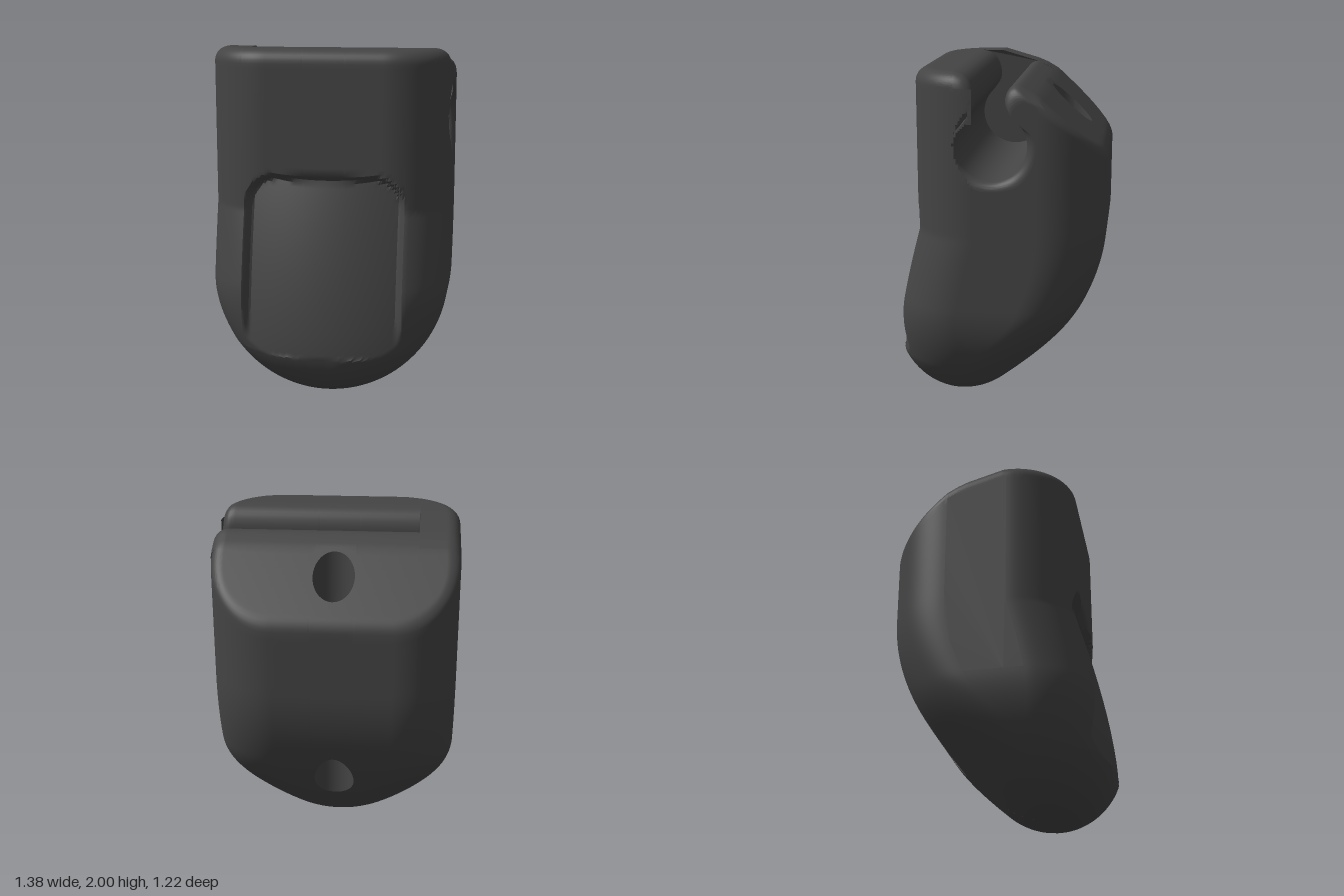
import * as THREE from 'three';
import { mergeVertices, toCreasedNormals } from 'three/addons/utils/BufferGeometryUtils.js';

const { lerp, clamp, smoothstep } = THREE.MathUtils;
const W = 0.69;                               // half width and radius of the round bottom
const CORNER = 0.36;                          // corner radius seen from above
const SLOT_END = -0.46;                       // blind end of the cross slot
const SLOT = { z: 0.005, y: 1.617, r: 0.195 };
const HOLE = { z: -0.385, r: 0.115 };

// Signed distance to a rounded corner region
const roundDist = (a, b, r) => Math.hypot(Math.max(a, 0), Math.max(b, 0)) + Math.min(Math.max(a, b), 0) - r;

// Side profile: thumb face, front and back edge by height
const thumbFace = (y) => 0.61 - 0.15 * (Math.max(0, y - 0.29) / 0.81) ** 1.5;
const frontEdge = (y) => y < 0.29
  ? 0.24 + 0.375 * Math.sqrt(Math.max(0, 1 - (1 - y / 0.36) ** 2))
  : Math.max(0.46, thumbFace(y));
const backEdge = (y) => y < 0.09
  ? 0.24 - 1.067 * Math.sqrt(Math.max(0, y * (0.72 - y)))
  : -0.61 + 0.53 * Math.max(0, 1.15 - y) ** 2;
const backHeight = (z) => 1.15 - Math.sqrt((z + 0.61) / 0.53);
const bottom = (x) => W - Math.sqrt(Math.max(0, W * W - x * x));

// How far the rounded section falls away from its front or back edge at x
function cornerDrop(x, y) {
  const w = y < W ? Math.sqrt(Math.max(0, W * W - (W - y) ** 2)) : W;
  const t = smoothstep(y, 0, W);
  const rx = w * lerp(1, CORNER / W, t);
  const rz = lerp((frontEdge(y) - backEdge(y)) / 2, CORNER, t);
  const u = rx > 1e-6 ? clamp((Math.abs(x) - w + rx) / rx, 0, 1) : 0;
  return rz * (1 - Math.sqrt(1 - u * u));
}
const backZ = (x, y) => backEdge(y) + cornerDrop(x, y);

// Front surface with the thumb recess pressed in
function frontZ(x, y) {
  const body = frontEdge(y) - cornerDrop(x, y);
  if (y < 0.29) return body;
  const floor = thumbFace(y) - 0.09 * (x / 0.44) ** 2;
  const mask = 1 - smoothstep(roundDist(Math.abs(x) - 0.28, y - 1.13, 0.18), -0.045, 0);
  return lerp(body, Math.min(body, floor), mask);
}

// Top surface: flat, then sloping to the back, with a rounded rim
const TOP = [[-0.61, 1.55], [-0.25, 1.88], [-0.19, 1.915], [-0.13, 1.94], [0.08, 2], [0.5, 2]];
function rim(x, z) {
  const d = -roundDist(Math.abs(x) - W + CORNER, Math.abs(z + 0.075) - 0.175, CORNER);
  const r = 0.04 + 0.04 * smoothstep(z, -0.5, -0.2);
  return d < r ? r - Math.sqrt(Math.max(0, r * r - (r - Math.max(d, 0)) ** 2)) : 0;
}
function topY(x, z) {
  const i = Math.max(1, TOP.findIndex((p) => p[0] >= z));
  const [a, b] = [TOP[i - 1], TOP[i]];
  return lerp(a[1], b[1], (z - a[0]) / (b[0] - a[0])) - rim(x, z);
}

// Keyhole outline of the slot, from the front lip round to the back lip
const frontLip = [[0.2, 2], [0.15, 1.985], [0.11, 1.945], [0.088, 1.87], [0.096, 1.82]];
const backLip = [[-0.085, 1.82], [-0.072, 1.865], [-0.09, 1.915], [-0.13, 1.937], [-0.18, 1.918], [-0.25, 1.88]];
const keyhole = [...frontLip];
for (let i = 0; i <= 16; i++) {
  const a = lerp(0.83, -Math.PI - 0.83, i / 16);
  keyhole.push([SLOT.z + SLOT.r * Math.cos(a), SLOT.y + SLOT.r * Math.sin(a)]);
}
keyhole.push(...backLip);
const SLOT_POINTS = new THREE.CatmullRomCurve3(keyhole.map(([z, y]) => new THREE.Vector3(0, y, z)), false, 'centripetal').getPoints(72);

const flare = (x) => { const d = Math.max(0, x - W + 0.05); return 0.05 - Math.sqrt(Math.max(0, 0.0025 - d * d)); };

// One cross-section at x. part: 'whole', or 'front' / 'back' of the cord hole
function section(x, slotted, part) {
  const pts = [];
  const add = (z, y, open = false) => pts.push({ x, y, z, open });
  const run = (n, f) => { for (let i = 0; i <= n; i++) f(i / n); };
  const zB = backZ(x, 1.5), zF = frontZ(x, 1.9), yb = bottom(x);
  const h = Math.sqrt(Math.max(0, HOLE.r ** 2 - x * x));
  const near = HOLE.z + h, far = HOLE.z - h;
  const r = SLOT.r + flare(x);

  const slope = (a, b) => run(16, (s) => { const z = lerp(a, b, 1 - (1 - s) ** 1.6); add(z, topY(x, z)); });
  const back = (y0, y1) => run(50, (s) => { const y = lerp(y1, y0, (1 - s) ** 1.6); add(backZ(x, y), y); });
  const wall = (z, y0, y1) => run(4, (s) => add(z, lerp(y0, y1, s)));

  if (part === 'back') {
    slope(far, zB);
    back(topY(x, zB), backHeight(far));
    wall(far, backHeight(far), topY(x, far));
    return pts;
  }
  const zS = Math.max(-0.25, zB);
  if (part === 'front') {
    slope(zS, near);
    wall(near, topY(x, near), backHeight(near));
    back(backHeight(near), yb);
  } else {
    slope(zS, zB);
    back(topY(x, zB), yb);
  }
  // underside, front and front half of the top
  const z0 = backZ(x, yb), z1 = frontZ(x, yb), yF = topY(x, zF);
  run(6, (s) => add(lerp(z0, z1, s), yb));
  run(110, (s) => {
    const y = lerp(yb, yF, s ** 1.6), z = frontZ(x, y);
    add(z, y, slotted && x > 0.6 && Math.hypot(z - SLOT.z, y - SLOT.y) < r);
  });
  run(14, (s) => { const z = lerp(zF, Math.min(0.2, zF), s ** 1.8); add(z, topY(x, z)); });
  // slot, or plain top where the slot has ended
  SLOT_POINTS.forEach((p, i) => {
    if (!slotted) {
      const z = clamp(lerp(0.2, -0.25, i / (SLOT_POINTS.length - 1)), zB, zF);
      return add(z, topY(x, z));
    }
    const f = flare(x);
    const z = p.z + f * clamp((p.z - SLOT.z) / 0.1, -1, 1);
    const y = p.y + f * Math.min(0, p.y - SLOT.y) / SLOT.r;
    const zc = clamp(z, zB, zF);
    add(zc, y - rim(x, zc) * smoothstep(y, 1.6, 1.9), z > zF && y < 1.8);
  });
  return pts;
}

// Skin a row of closed sections, leaving out the open slot mouth
function loft(sections) {
  const n = sections[0].length, pos = [], idx = [];
  sections.forEach((s) => s.forEach((p) => pos.push(p.x, p.y, p.z)));
  for (let i = 0; i < sections.length - 1; i++) {
    for (let j = 0; j < n; j++) {
      const k = (j + 1) % n;
      const quad = [sections[i][j], sections[i][k], sections[i + 1][k], sections[i + 1][j]];
      if (quad.every((p) => p.open)) continue;
      const a = i * n + j, b = i * n + k, c = b + n, d = a + n;
      idx.push(a, c, b, a, d, c);
    }
  }
  const g = new THREE.BufferGeometry();
  g.setAttribute('position', new THREE.Float32BufferAttribute(pos, 3));
  g.setIndex(idx);
  return toCreasedNormals(mergeVertices(g, 1e-5), 0.6);
}

// Flat face across x from a z, y outline
function flatFace(points, x) {
  const shape = new THREE.Shape(points.map((p) => new THREE.Vector2(-p.z, p.y)));
  return new THREE.ShapeGeometry(shape).rotateY(Math.PI / 2).translate(x, 0, 0);
}

// Stations along x, closer together towards +-limit
function stations(a, b, n, limit = W) {
  const s = Math.asin(a / limit), e = Math.asin(b / limit);
  return Array.from({ length: n + 1 }, (_, i) => limit * Math.sin(lerp(s, e, i / n)));
}

export function createModel() {
  const group = new THREE.Group();
  const material = new THREE.MeshStandardMaterial({ color: 0x444444, side: THREE.DoubleSide });
  const add = (name, geometry) => {
    const mesh = new THREE.Mesh(geometry, material);
    mesh.name = name;
    group.add(mesh);
  };
  const span = (xs, slotted, part) => loft(xs.map((x) => section(x, slotted, part)));
  const middle = stations(-HOLE.r, HOLE.r, 18, HOLE.r);

  add('closedSide', span(stations(-W, SLOT_END, 24), false, 'whole'));
  add('slottedBodyRight', span(stations(SLOT_END, -HOLE.r, 26), true, 'whole'));
  add('bodyBeforeCordHole', span(middle, true, 'front'));
  add('bodyBehindCordHole', span(middle, true, 'back'));
  add('slottedBodyLeft', span(stations(HOLE.r, W, 56), true, 'whole'));
  add('rightSideFace', flatFace(section(-W, false, 'whole'), -W));
  add('leftSideFace', flatFace(section(W, true, 'whole'), W));
  add('slotEndWall', flatFace(SLOT_POINTS, SLOT_END));
  return group;
}
